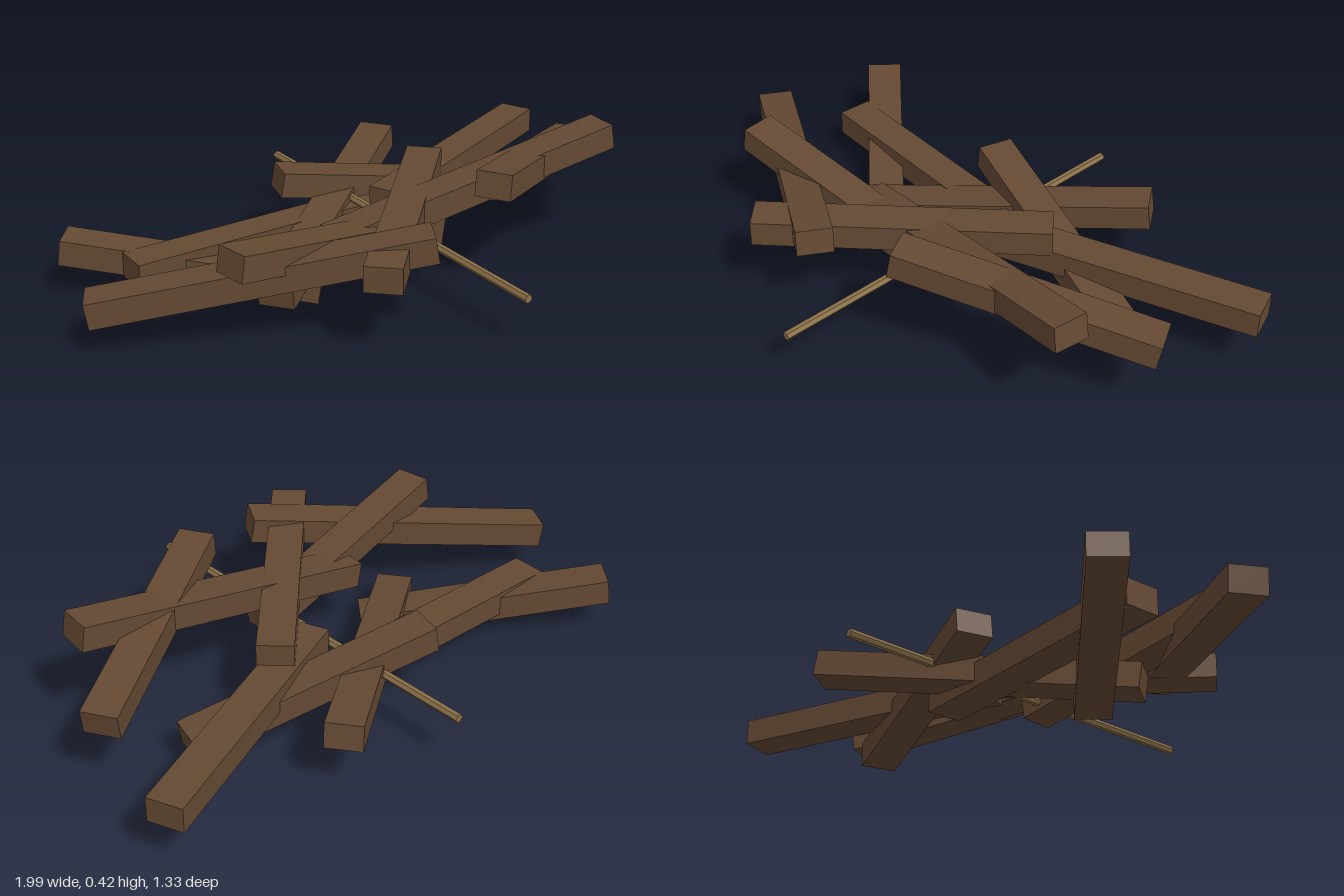
import * as THREE from 'three';

export function createModel() {
  const group = new THREE.Group();
  const wood = new THREE.MeshStandardMaterial({ name: 'dark brown wood', color: 0x644933 });
  const pale = new THREE.MeshStandardMaterial({ name: 'tan stick wood', color: 0x8a7048 });

  // Beam centre-line ends: x, y, z of one end, then of the other
  const beams = [
    [-0.83, 0.16, -0.51, -0.215, 0.05, 0.03],
    [-0.72, 0.13, -0.27, 0.205, 0.13, -0.21],
    [-0.415, 0.078, 0.055, 0.43, 0.228, -0.53],
    [-0.12, 0.248, -0.36, 0.665, 0.11, -0.12],
    [0.115, 0.202, -0.085, 0.975, 0.202, -0.4],
    [-0.965, 0.144, -0.11, -0.09, 0.305, 0.425],
    [-0.665, 0.318, 0.2, 0.148, 0.18, 0.115],
    [-0.235, 0.217, 0.09, 0.78, 0.388, 0.23],
    [0.183, 0.387, 0.355, 0.9, 0.254, -0.035],
    [-0.33, 0.273, 0.475, 0.34, 0.273, -0.16],
  ];

  // Turn a mesh lying along x so that it runs from a to b, without roll
  function place(mesh, a, b) {
    const d = b.clone().sub(a);
    mesh.position.copy(a).add(b).multiplyScalar(0.5);
    mesh.rotation.order = 'YXZ';
    mesh.rotation.set(0, Math.atan2(-d.z, d.x), Math.asin(d.y / d.length()));
    group.add(mesh);
  }

  // Crossed pile of square-cut beams
  beams.forEach((p, i) => {
    const a = new THREE.Vector3(p[0], p[1], p[2]);
    const b = new THREE.Vector3(p[3], p[4], p[5]);
    const trim = a.y === b.y ? 0 : 0.012;
    const beam = new THREE.Mesh(new THREE.BoxGeometry(a.distanceTo(b) - trim, 0.083, 0.115), wood);
    beam.name = 'beam' + (i + 1);
    place(beam, a, b);
  });

  // Thin stick pushed through the pile
  const back = new THREE.Vector3(0.09, 0.186, -0.665);
  const front = new THREE.Vector3(0.055, 0.172, 0.665);
  const geo = new THREE.CylinderGeometry(0.014, 0.014, back.distanceTo(front), 6).toNonIndexed();
  geo.rotateZ(-Math.PI / 2);
  geo.computeVertexNormals();
  const stick = new THREE.Mesh(geo, pale);
  stick.name = 'stick';
  place(stick, back, front);

  return group;
}
